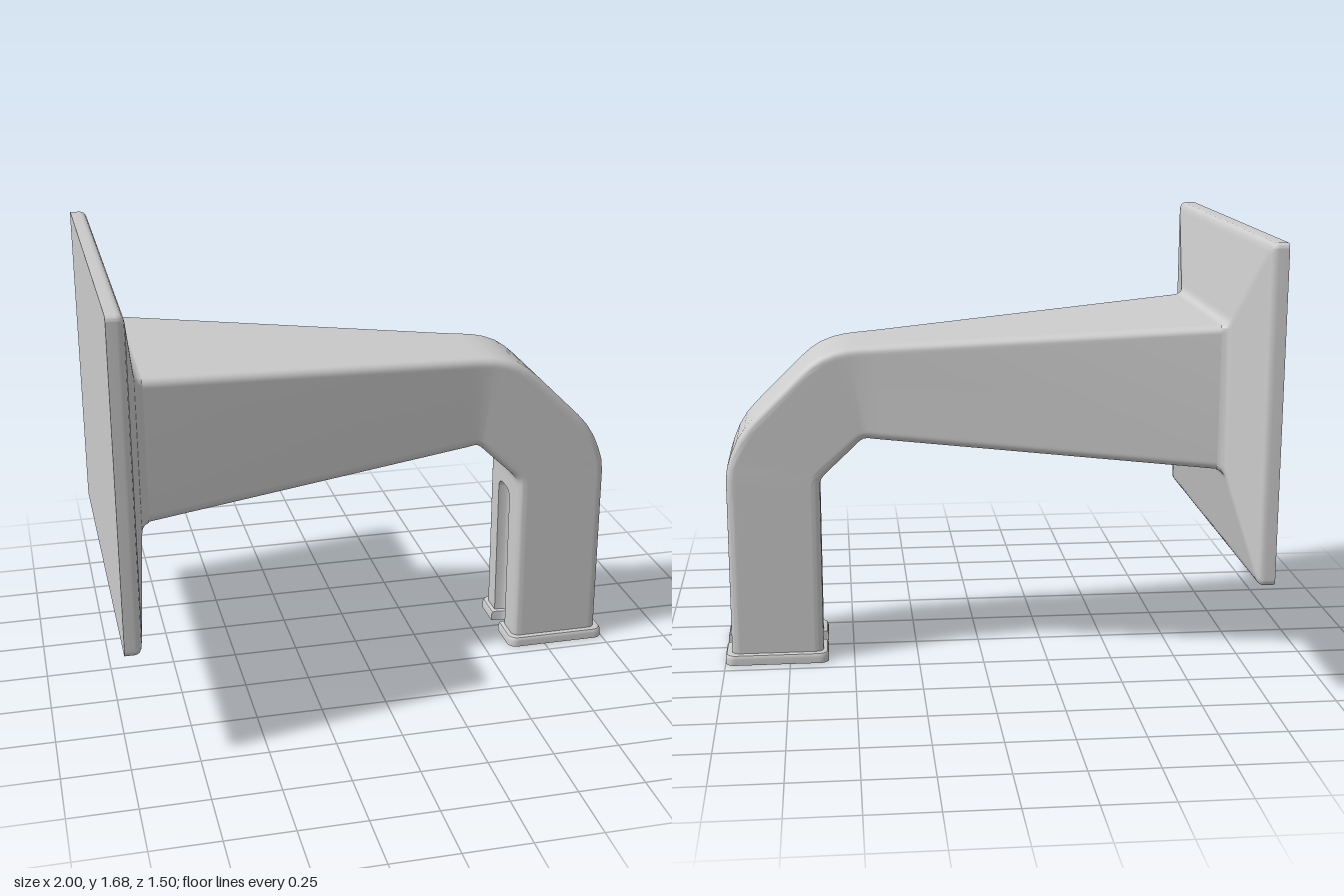
import * as THREE from 'three';
import { toCreasedNormals } from 'three/addons/utils/BufferGeometryUtils.js';

const CORNER_STEPS = 6;
const GROOVE_STEPS = 12;

// Rounded rectangle (half sizes a, b) with a groove in both u faces.
function section(a, b, r, g, d) {
  const pts = [];
  const s = Math.min(0.008, r * 0.4);
  const corner = (cu, cv, start) => {
    const at = (t, k) => [cu + r * Math.cos(t) + k * Math.sin(t), cv + r * Math.sin(t) - k * Math.cos(t)];
    const end = start + Math.PI / 2;
    pts.push(at(start, s)); // support points keep the flats flat
    for (let i = 0; i <= CORNER_STEPS; i++) pts.push(at(start + (i / CORNER_STEPS) * Math.PI / 2, 0));
    pts.push(at(end, -s));
  };
  const groove = (side) => {
    for (let i = 0; i <= GROOVE_STEPS; i++) {
      const t = (i / GROOVE_STEPS) * Math.PI;
      const depth = d * Math.sqrt(Math.max(0, Math.sin(t)));
      pts.push([side * (a - depth), -side * g * Math.cos(t)]);
    }
  };
  groove(1);
  corner(a - r, b - r, 0);
  corner(-a + r, b - r, Math.PI / 2);
  groove(-1);
  corner(-a + r, -b + r, Math.PI);
  corner(a - r, -b + r, Math.PI * 1.5);
  return pts;
}

// Skin over rings given by inner point, outer point and half width in z.
function loft(rings, capStart, capEnd) {
  const pos = [], index = [];
  const flat = rings.map(({ inner, outer, w, r = 0.03, g = 0.067, d = 0 }) => {
    const dx = outer[0] - inner[0], dy = outer[1] - inner[1];
    const len = Math.hypot(dx, dy);
    const pts = section(len / 2, w, r, g, d);
    for (const [u, v] of pts) {
      const k = 0.5 + u / len;
      pos.push(inner[0] + dx * k, inner[1] + dy * k, v);
    }
    return pts;
  });
  const n = flat[0].length;
  for (let j = 0; j < rings.length - 1; j++) {
    for (let i = 0; i < n; i++) {
      const a = j * n + i, b = j * n + (i + 1) % n;
      index.push(a, b, b + n, a, b + n, a + n);
    }
  }
  const cap = (j, flip) => {
    const contour = flat[j].map(([u, v]) => new THREE.Vector2(u, v));
    for (const [a, b, c] of THREE.ShapeUtils.triangulateShape(contour, [])) {
      index.push(j * n + a, j * n + (flip ? c : b), j * n + (flip ? b : c));
    }
  };
  if (capStart) cap(0, true);
  if (capEnd) cap(rings.length - 1, false);
  const geo = new THREE.BufferGeometry();
  geo.setAttribute('position', new THREE.Float32BufferAttribute(pos, 3));
  geo.setIndex(index);
  return toCreasedNormals(geo, 0.55);
}

export function createModel() {
  const group = new THREE.Group();
  const material = new THREE.MeshStandardMaterial({ color: 0xcccccc });
  const add = (name, geo) => {
    const mesh = new THREE.Mesh(geo, material);
    mesh.name = name;
    group.add(mesh);
  };

  // Wall plate: square-backed slab sloping in to the arm, [x, half height, half width]
  const cy = 1.065;
  add('wallPlate', loft([
    [-1, 0.615, 0.75], [-0.965, 0.615, 0.75], [-0.955, 0.614, 0.749], [-0.945, 0.609, 0.744],
    [-0.939, 0.6, 0.735], [-0.934, 0.58, 0.715], [-0.89, 0.31, 0.446], [-0.886, 0.293, 0.429],
    [-0.88, 0.283, 0.418], [-0.872, 0.277, 0.412], [-0.858, 0.273, 0.406],
  ].map(([x, h, w]) => ({ inner: [x, cy - h], outer: [x, cy + h], w, r: 0.02 })), true, false));

  // Arm: tapering beam bent down into a leg, [inner x, y, outer x, y, half width]
  const arm = [
    [-0.89, 0.79, -0.89, 1.34, 0.411], [0.4, 0.882, 0.4, 1.245, 0.188],
    [0.435, 0.885, 0.46, 1.241, 0.181], [0.452, 0.882, 0.51, 1.236, 0.178],
    [0.464, 0.875, 0.56, 1.225, 0.178], [0.472, 0.868, 0.61, 1.205, 0.178],
    [0.48, 0.86, 0.65, 1.178, 0.178], [0.49, 0.85, 0.69, 1.143, 0.178],
    [0.596, 0.75, 0.865, 0.97, 0.178], [0.604, 0.741, 0.9, 0.93, 0.178],
    [0.61, 0.734, 0.93, 0.883, 0.178], [0.615, 0.726, 0.953, 0.83, 0.178],
    [0.619, 0.714, 0.969, 0.78, 0.178], [0.62, 0.7, 0.975, 0.73, 0.178],
    [0.62, 0.67, 0.975, 0.68, 0.178],
  ].map(([ix, iy, ox, oy, w]) => ({ inner: [ix, iy], outer: [ox, oy], w }));
  const leg = (y, g, d) => arm.push({ inner: [0.62, y], outer: [0.975, y], w: 0.178, g, d });
  // Slots in both leg faces, with rounded upper corners
  const slotTop = 0.638, round = 0.035, depth = 0.06;
  leg(slotTop + 0.002, 0.067 - round, 0);
  for (let i = 0; i <= 5; i++) {
    const t = (i / 5) * Math.PI / 2;
    leg(slotTop - round * (1 - Math.cos(t)), 0.067 - round * (1 - Math.sin(t)), depth);
  }
  leg(0.02, 0.067, depth);
  add('arm', loft(arm, false, false));

  // Foot plate with a notch below each slot, [y, inset]
  add('footPlate', loft([
    [0.04, 0.012], [0.037, 0.005], [0.03, 0.001], [0.024, 0], [0, 0],
  ].map(([y, e]) => ({
    inner: [0.6 + e, y], outer: [1 - e, y], w: 0.2 - e, r: 0.035, g: 0.046, d: 0.07 - e,
  })), true, true));

  return group;
}
